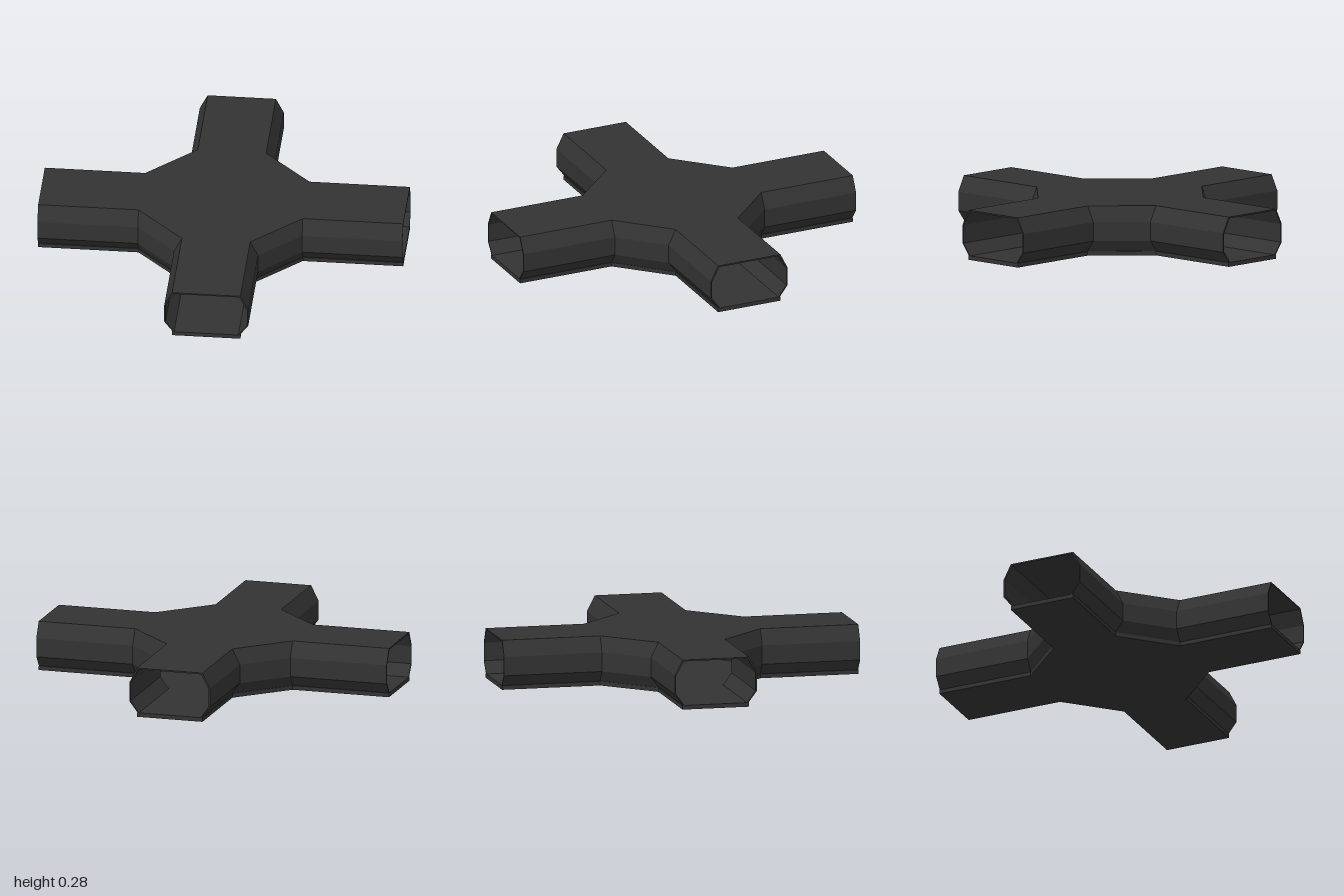
import * as THREE from 'three';

const HUB = 0.45;   // where the straight arms meet the hub
const END = 1;      // open ends of the arms
const FLAT = 0.187; // half width of floor and ceiling

// Plan path around one inside corner, at sideways offset w: [x, z]
const cornerPath = (w) => [[w, END], [w, HUB], [HUB, w], [END, w]];

// Cross-shaped slab with chamfered inside corners
function slab(y0, y1) {
  const pts = [];
  for (let k = 0; k < 4; k++) {
    const a = (k * Math.PI) / 2;
    // reversed path so the outline runs counter-clockwise
    for (const [x, z] of cornerPath(FLAT).reverse()) {
      pts.push(new THREE.Vector2(x * Math.cos(a) - z * Math.sin(a), x * Math.sin(a) + z * Math.cos(a)));
    }
  }
  const geo = new THREE.ExtrudeGeometry(new THREE.Shape(pts), { depth: y1 - y0, bevelEnabled: false });
  return geo.rotateX(-Math.PI / 2).translate(0, y0, 0);
}

// Thin faceted wall swept around one inside corner
function cornerWall() {
  // [offset, height]: outer skin going down, then inner skin going up
  const profile = [
    [0.187, 0.275], [0.23, 0.19], [0.23, 0.085], [0.182, 0.022],
    [0.175, 0.022], [0.223, 0.088], [0.223, 0.187], [0.18, 0.267],
  ];
  const n = profile.length;
  const pos = [];
  const index = [];
  for (let s = 0; s < 4; s++) {
    for (const [w, y] of profile) {
      const [x, z] = cornerPath(w)[s];
      pos.push(x, y, z);
    }
  }
  const quad = (a, b, c, d) => index.push(a, b, c, a, c, d);
  for (let s = 0; s < 3; s++) {
    for (let j = 0; j < n; j++) {
      const a = s * n + j;
      const b = s * n + ((j + 1) % n);
      quad(a, b, b + n, a + n);
    }
  }
  // Rims at both open ends
  const last = 3 * n;
  for (let j = 0; j < 3; j++) {
    quad(j, n - 1 - j, n - 2 - j, j + 1);
    quad(last + j, last + j + 1, last + n - 2 - j, last + n - 1 - j);
  }
  const geo = new THREE.BufferGeometry();
  geo.setAttribute('position', new THREE.Float32BufferAttribute(pos, 3));
  geo.setIndex(index);
  const flat = geo.toNonIndexed();
  flat.computeVertexNormals();
  return flat;
}

export function createModel() {
  const model = new THREE.Group();
  model.name = 'corridorCrossing';
  const mat = new THREE.MeshStandardMaterial({ color: 0x333333, flatShading: true });

  const add = (name, geo) => {
    const mesh = new THREE.Mesh(geo, mat);
    mesh.name = name;
    model.add(mesh);
    return mesh;
  };

  add('floor', slab(0, 0.023));
  add('ceiling', slab(0.267, 0.275));

  // Four identical corner walls
  const wall = cornerWall();
  ['frontLeft', 'backLeft', 'backRight', 'frontRight'].forEach((name, k) => {
    add(name + 'Wall', wall).rotation.y = (k * Math.PI) / 2;
  });
  return model;
}
